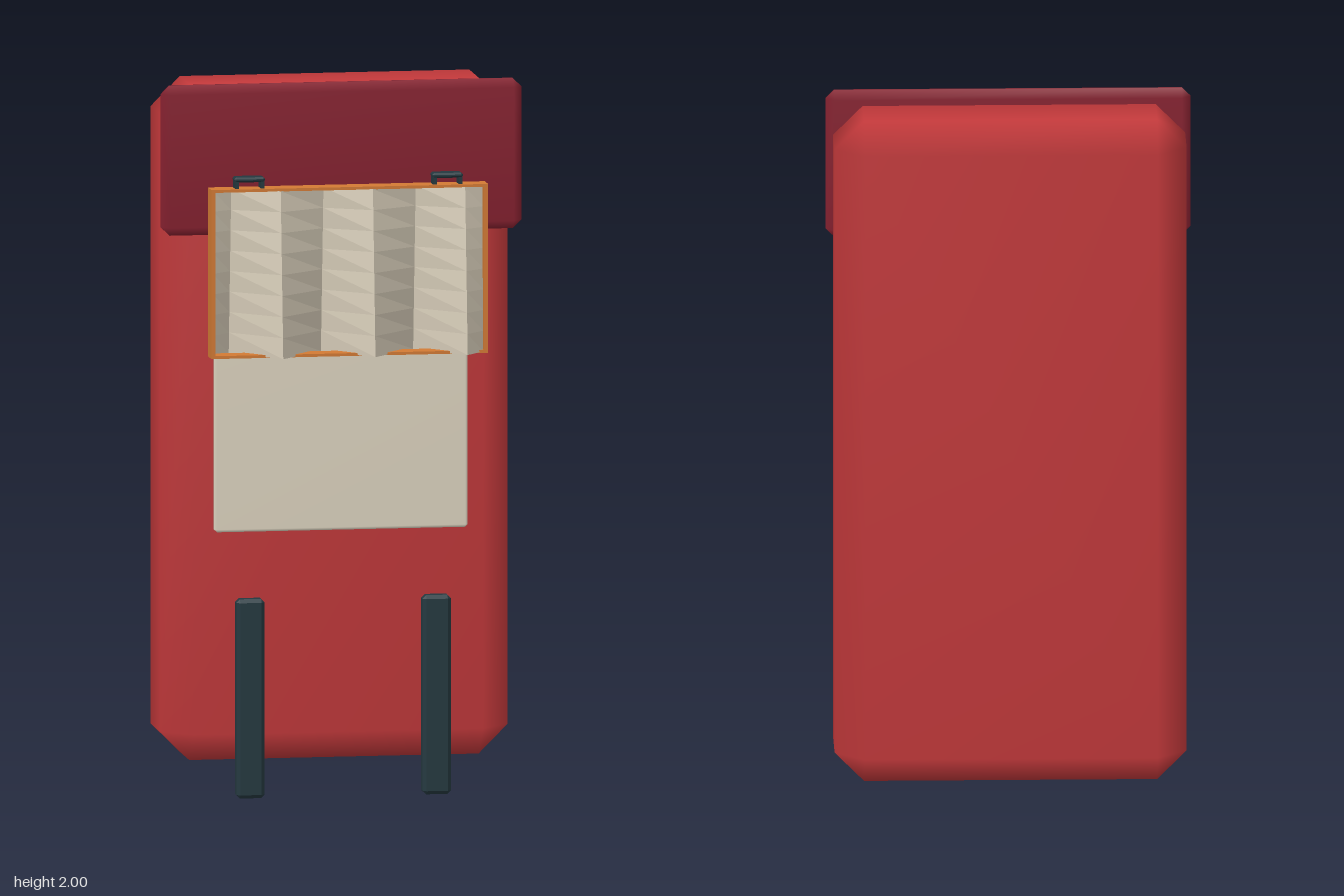
import * as THREE from 'three';
import { mergeVertices } from 'three/addons/utils/BufferGeometryUtils.js';
import { ConvexGeometry } from 'three/addons/geometries/ConvexGeometry.js';

const material = (name, color, side = THREE.FrontSide) => {
  const m = new THREE.MeshStandardMaterial({ color, side });
  m.name = name;
  return m;
};

// Box given by its limits, with every edge cut by a chamfer; soft keeps smooth shading
function chamferBox([x0, x1], [y0, y1], [z0, z1], c, soft = true) {
  const half = [(x1 - x0) / 2, (y1 - y0) / 2, (z1 - z0) / 2];
  const points = [];
  for (const sx of [-1, 1]) for (const sy of [-1, 1]) for (const sz of [-1, 1]) {
    for (let axis = 0; axis < 3; axis++) {
      const h = half.map((v, i) => (i === axis ? v : v - c));
      points.push(new THREE.Vector3(sx * h[0], sy * h[1], sz * h[2]));
    }
  }
  let geometry = new ConvexGeometry(points);
  if (soft) {
    geometry.deleteAttribute('normal');
    geometry = mergeVertices(geometry, 1e-5);
    geometry.computeVertexNormals();
  }
  return geometry.translate((x0 + x1) / 2, (y0 + y1) / 2, (z0 + z1) / 2);
}

// Zigzag cloth whose folds open out towards the bottom
function pleatGeometry() {
  const xs = [-0.38, -0.325, -0.195, -0.065, 0.065, 0.195, 0.325, 0.38];
  const wave = [-0.12, -1, 1, -1, 1, -1, 1, 0.12];
  const rows = 8, positions = [];
  const point = (i, r) => {
    const t = r / rows;
    return [xs[i], 1.718 - 0.466 * t, 0.21 + wave[i] * (0.03 + 0.044 * t)];
  };
  for (let i = 0; i < xs.length - 1; i++) for (let r = 0; r < rows; r++) {
    const a = point(i, r), b = point(i, r + 1), c = point(i + 1, r + 1), d = point(i + 1, r);
    positions.push(...a, ...b, ...c, ...a, ...c, ...d);
  }
  const geometry = new THREE.BufferGeometry();
  geometry.setAttribute('position', new THREE.Float32BufferAttribute(positions, 3));
  geometry.computeVertexNormals();
  return geometry;
}

export function createModel() {
  const model = new THREE.Group();
  model.name = 'pleatedPanelCase';
  const red = material('red', 0xc1383a);
  const maroon = material('maroon', 0x85202f);
  const cream = material('cream', 0xdcd3bf);
  const cloth = material('clothCream', 0xd6ccb8, THREE.DoubleSide);
  const orange = material('orange', 0xd27a34);
  const dark = material('darkSlate', 0x24383f);

  const add = (name, geometry, mat, parent = model) => {
    const mesh = new THREE.Mesh(geometry, mat);
    mesh.name = name;
    parent.add(mesh);
    return mesh;
  };

  // Main case, top flap and front plate
  add('body', chamferBox([-0.49, 0.49], [0.085, 1.985], [-0.285, 0.042], 0.082), red);
  add('topFlap', chamferBox([-0.508, 0.508], [1.578, 2], [0.055, 0.11], 0.024), maroon);
  add('frontPlate', chamferBox([-0.36, 0.355], [0.743, 1.458], [0.084, 0.106], 0.008), cream);

  // Hanging straps
  for (const [side, x] of [['right', -0.265], ['left', 0.26]]) {
    add(side + 'Strap', chamferBox([x - 0.04, x + 0.04], [0, 0.56], [0.11, 0.155], 0.01, false), dark);
  }

  // Thin open frame with a rectangular hole
  const outline = new THREE.Shape([[-0.39, 1.25], [0.39, 1.25], [0.39, 1.725], [-0.39, 1.725]]
    .map(([x, y]) => new THREE.Vector2(x, y)));
  outline.holes.push(new THREE.Path([[-0.378, 1.258], [-0.378, 1.717], [0.378, 1.717], [0.378, 1.258]]
    .map(([x, y]) => new THREE.Vector2(x, y))));
  const frame = new THREE.ExtrudeGeometry(outline, { depth: 0.056, bevelEnabled: false });
  add('pleatFrame', frame.translate(0, 0, 0.18), orange);
  add('pleatedCloth', pleatGeometry(), cloth);

  // Small arched clips on top of the frame
  for (const [side, x] of [['right', -0.28], ['left', 0.278]]) {
    const clip = new THREE.Group();
    clip.name = side + 'Clip';
    add('clipBar', chamferBox([x - 0.043, x + 0.043], [1.743, 1.757], [0.185, 0.23], 0.005, false), dark, clip);
    for (const s of [-1, 1]) {
      const post = new THREE.BoxGeometry(0.01, 0.026, 0.04);
      add('clipPost', post.translate(x + s * 0.036, 1.736, 0.2075), dark, clip);
    }
    model.add(clip);
  }
  return model;
}
